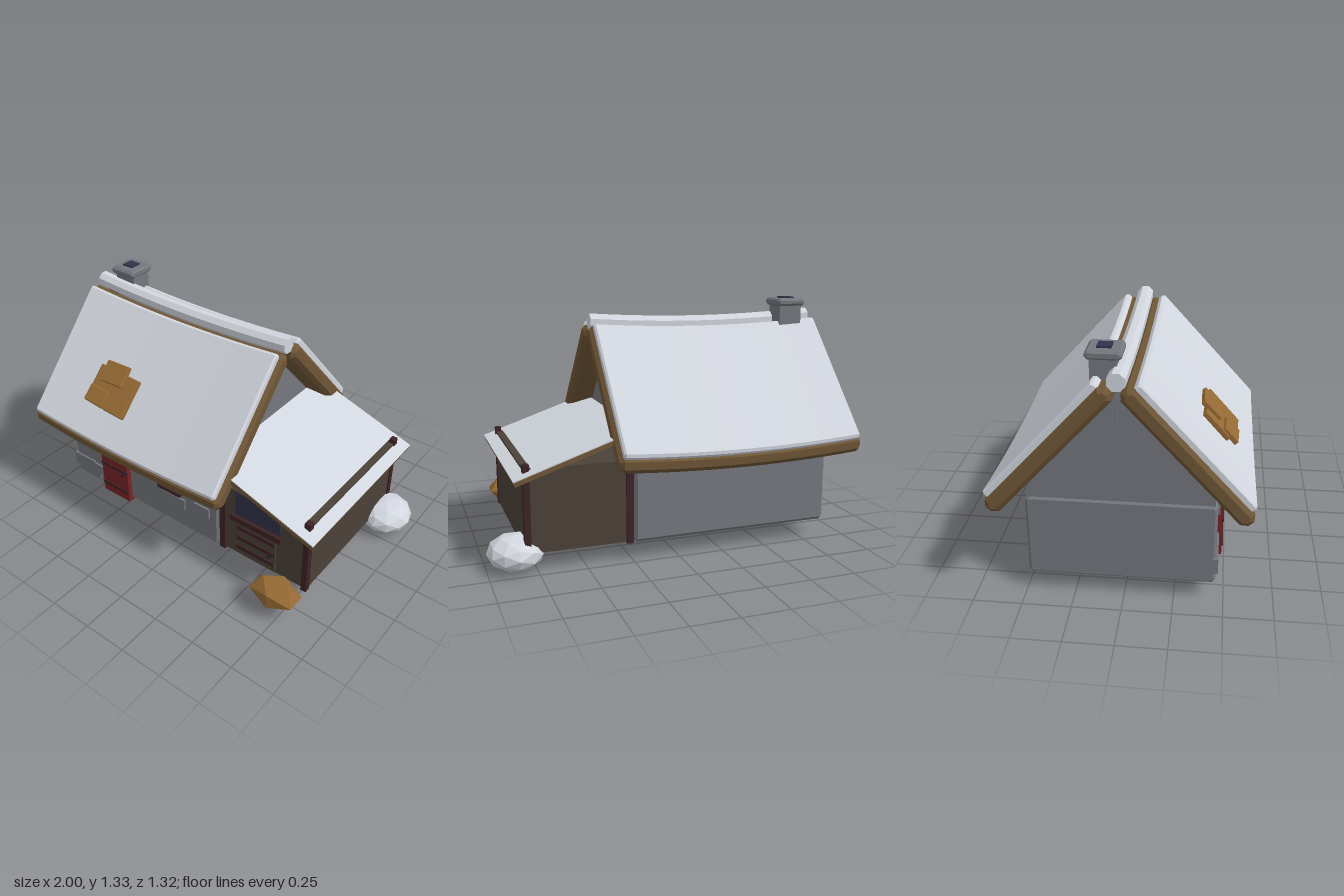
import * as THREE from 'three';
import { toCreasedNormals } from 'three/addons/utils/BufferGeometryUtils.js';

const Z0 = -0.012;                 // middle plane of the house
const ROOF_X = -0.315;             // middle of the roof along x
const SLOPE = 0.832;               // roof pitch in radians

const mat = (name, color) => {
  const m = new THREE.MeshStandardMaterial({ color });
  m.name = name;
  return m;
};

export function createModel() {
  const M = {
    stone: mat('grey stone', 0x75777e),
    snow: mat('snow', 0xd2d6de),
    wood: mat('roof wood', 0x6f5636),
    plank: mat('amber plank', 0x966a34),
    shed: mat('dark brown boards', 0x4b4238),
    post: mat('dark red timber', 0x3d2326),
    door: mat('red paint', 0x782327),
    glass: mat('navy glass', 0x32324a),
    iron: mat('dark iron', 0x202028),
  };
  const root = new THREE.Group();
  root.name = 'cottage';

  const add = (name, geo, material, parent = root) => {
    const mesh = new THREE.Mesh(geo, material);
    mesh.name = name;
    parent.add(mesh);
    return mesh;
  };
  // box given by its limits
  const box = (name, material, x0, x1, y0, y1, z0, z1, parent) => {
    const mesh = add(name, new THREE.BoxGeometry(x1 - x0, y1 - y0, z1 - z0), material, parent);
    mesh.position.set((x0 + x1) / 2, (y0 + y1) / 2, (z0 + z1) / 2);
    return mesh;
  };
  // box with every edge cut off, centred, longest along x
  const chamferBox = (lx, ly, lz, b, steps = 1) => {
    const w = lz / 2 - b, h = ly / 2 - b, c = b * 0.7;
    const s = new THREE.Shape([
      [-w + c, -h], [w - c, -h], [w, -h + c], [w, h - c],
      [w - c, h], [-w + c, h], [-w, h - c], [-w, -h + c],
    ].map(p => new THREE.Vector2(...p)));
    const g = new THREE.ExtrudeGeometry(s, {
      depth: lx - 2 * b, steps, bevelEnabled: true, bevelThickness: b, bevelSize: b, bevelSegments: 1,
    });
    return g.translate(0, 0, -(lx / 2 - b)).rotateY(Math.PI / 2);
  };
  // lowers the middle of a long piece
  const sag = (g) => {
    const p = g.attributes.position;
    for (let i = 0; i < p.count; i++) {
      const t = p.getX(i) / 0.68;
      p.setY(i, p.getY(i) - 0.028 * Math.max(0, 1 - t * t));
    }
    return toCreasedNormals(g, 0.4);
  };

  // house walls
  const house = new THREE.Group();
  house.name = 'house';
  root.add(house);
  add('walls', chamferBox(1.118, 0.45, 0.942, 0.014), M.stone, house).position.set(-0.316, 0.325, -0.014);
  const gable = new THREE.Shape([
    [-0.455, 0.54], [0.455, 0.54], [0.455, 0.64], [0, 1.15], [-0.455, 0.64],
  ].map(p => new THREE.Vector2(...p)));
  const gableGeo = new THREE.ExtrudeGeometry(gable, { depth: 1.098, bevelEnabled: false });
  gableGeo.rotateY(Math.PI / 2).translate(-0.865, 0, Z0);
  add('gables', gableGeo, M.stone, house);

  // raised stones on the front wall
  [
    [-0.16, 0.01, 0.25, 0.315], [0.08, 0.185, 0.275, 0.34],
    [-0.88, -0.71, 0.165, 0.25], [-0.71, -0.63, 0.17, 0.24], [-0.8, -0.67, 0.135, 0.185],
    [-0.8, -0.65, 0.46, 0.53], [-0.412, -0.365, 0.4, 0.53],
  ].forEach(([x0, x1, y0, y1]) => box('wallStone', M.stone, x0, x1, y0, y1, 0.44, 0.468, house));

  // front door
  const door = new THREE.Group();
  door.name = 'frontDoor';
  root.add(door);
  box('doorPanel', M.door, -0.62, -0.414, 0.098, 0.56, 0.44, 0.485, door);
  for (const y of [0.162, 0.31, 0.455]) box('doorStrap', M.post, -0.62, -0.414, y - 0.009, y + 0.009, 0.48, 0.491, door);
  const knob = new THREE.IcosahedronGeometry(0.013, 1);
  add('doorKnob', knob, M.iron, door).position.set(-0.442, 0.297, 0.492);

  // house window with shutters
  const win = new THREE.Group();
  win.name = 'houseWindow';
  root.add(win);
  box('pane', M.glass, -0.165, -0.012, 0.365, 0.52, 0.44, 0.475, win);
  for (const x of [-0.195, 0.018]) box('shutter', M.shed, x - 0.03, x + 0.03, 0.37, 0.505, 0.44, 0.48, win);
  for (const x of [-0.155, -0.09, -0.02]) box('windowBar', M.shed, x - 0.006, x + 0.006, 0.365, 0.52, 0.46, 0.484, win);
  box('windowSill', M.post, -0.17, -0.005, 0.345, 0.366, 0.44, 0.49, win);

  // roof slopes: timber slab with a snow slab on top
  const roof = new THREE.Group();
  roof.name = 'roof';
  root.add(roof);
  const sn = Math.sin(SLOPE), cs = Math.cos(SLOPE);
  const onSlope = (side, s, n) => [cs * n - sn * s, Z0 + side * (sn * n + cs * s)];
  const slab = (name, material, side, lx, s0, s1, n0, n1, b) => {
    const g = sag(chamferBox(lx, n1 - n0, s1 - s0, b, 14).rotateX(side * SLOPE));
    const [y, z] = onSlope(side, (s0 + s1) / 2, (n0 + n1) / 2);
    add(name, g, material, roof).position.set(ROOF_X, y, z);
  };
  for (const side of [1, -1]) {
    slab('roofTimber', M.wood, side, 1.37, -0.85, 0.022, 0.775, 0.866, 0.022);
    slab('roofSnow', M.snow, side, 1.33, -0.83, -0.02, 0.85, 0.9, 0.01);
  }
  const ridge = new THREE.CylinderGeometry(0.046, 0.046, 1.33, 8, 14).rotateZ(Math.PI / 2).rotateX(Math.PI / 8);
  add('ridgeSnow', sag(ridge), M.snow, roof).position.set(ROOF_X, 1.217, Z0);

  // patch of loose boards on the front slope
  [
    [-0.515, -0.402, 0.16, 0.125, 0.03, 0.927],
    [-0.57, -0.335, 0.15, 0.18, -0.05, 0.908],
    [-0.425, -0.305, 0.145, 0.23, -0.04, 0.912],
    [-0.573, -0.25, 0.14, 0.1, -0.07, 0.924],
  ].forEach(([x, s, w, l, turn, n]) => {
    const [y, z] = onSlope(1, s, n);
    const b = add('roofPatchBoard', chamferBox(w, 0.028, l, 0.004).rotateY(turn).rotateX(SLOPE), M.plank, roof);
    b.position.set(x, y, z);
  });

  // chimney
  const chimney = new THREE.Group();
  chimney.name = 'chimney';
  root.add(chimney);
  box('chimneyShaft', M.stone, -0.88, -0.745, 0.95, 1.3, -0.145, -0.02, chimney);
  add('chimneyCap', chamferBox(0.166, 0.042, 0.17, 0.01), M.stone, chimney).position.set(-0.812, 1.303, -0.08);
  box('flue', M.glass, -0.848, -0.778, 1.3, 1.332, -0.115, -0.047, chimney);

  // lean-to shed
  const shed = new THREE.Group();
  shed.name = 'shed';
  root.add(shed);
  box('shedWalls', M.shed, 0.24, 0.81, 0.1, 0.541, -0.455, 0.43, shed);
  for (const [z0, z1] of [[0.41, 0.446], [-0.471, -0.435]]) {
    box('innerPost', M.post, 0.245, 0.282, 0.095, 0.6, z0, z1, shed);
    box('outerPost', M.post, 0.784, 0.817, 0.095, 0.567, z0, z1, shed);
  }
  // shed roof, running up against the gable
  const shedRoof = new THREE.Group();
  shedRoof.name = 'shedRoof';
  shedRoof.position.set(0.558, 0.613, -0.012);
  shedRoof.rotation.z = -Math.atan(0.337);
  shed.add(shedRoof);
  box('shedRoofBoards', M.wood, -0.335, 0.335, -0.03, -0.006, -0.518, 0.518, shedRoof);
  box('shedRoofSnow', M.snow, -0.335, 0.335, -0.006, 0, -0.518, 0.518, shedRoof);

  // shed front: dark opening above a slatted half door
  box('shedOpening', M.glass, 0.345, 0.635, 0.38, 0.538, 0.42, 0.436, shed);
  box('shedSill', M.post, 0.325, 0.65, 0.345, 0.38, 0.42, 0.455, shed);
  box('shedDoor', M.shed, 0.355, 0.612, 0.108, 0.345, 0.42, 0.438, shed);
  for (const y of [0.16, 0.228, 0.302]) box('shedDoorSlat', M.post, 0.36, 0.607, y - 0.012, y + 0.012, 0.43, 0.445, shed);
  add('shedDoorKnob', knob, M.iron, shed).position.set(0.58, 0.218, 0.448);

  // boulders beside the shed
  const boulder = (name, detail, material, x, y, z, rx, ry, rz) => {
    const g = new THREE.IcosahedronGeometry(1, detail).scale(rx, ry, rz);
    g.computeVertexNormals();
    add(name, g, material).position.set(x, y, z);
  };
  boulder('amberBoulder', 0, M.plank, 0.712, 0.14, 0.575, 0.153, 0.085, 0.1);
  boulder('snowyBoulder', 1, M.snow, 0.85, 0.092, -0.373, 0.15, 0.092, 0.157);
  return root;
}
